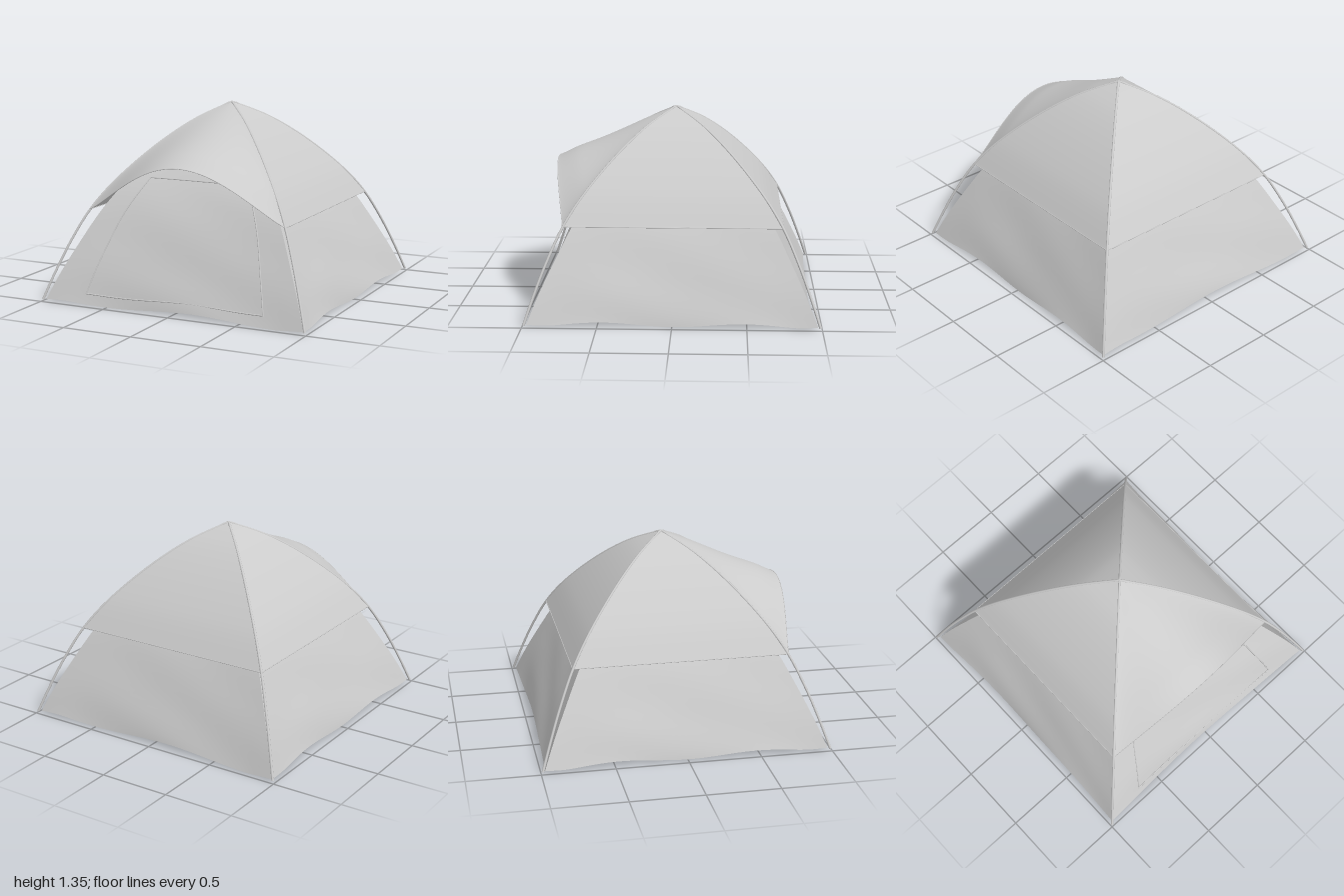
import * as THREE from 'three';

const fabric = new THREE.MeshStandardMaterial({ color: 0xcccccc, side: THREE.DoubleSide });
const solid = new THREE.MeshStandardMaterial({ color: 0xcccccc });

const spline = (pts) => new THREE.SplineCurve(pts.map(([c, y]) => new THREE.Vector2(c, y)));

// Half-width and height along the corners, from the ground to the peak
const poleProfile = spline([[0.988, 0.015], [0.925, 0.2], [0.845, 0.41], [0.74, 0.635],
  [0.6, 0.84], [0.4, 1.06], [0.2, 1.23], [0, 1.345]]);
const innerProfile = spline([[0.972, 0.015], [0.9, 0.19], [0.8, 0.4], [0.68, 0.63],
  [0.55, 0.82], [0.36, 1.03], [0.18, 1.19], [0, 1.3]]);
const flyProfile = spline([[0.745, 0.633], [0.605, 0.84], [0.403, 1.062], [0.202, 1.234], [0, 1.35]]);

// Cloth panel facing +z: s runs -1..1 across, t runs 0..1 from hem to peak
function panel(name, pointAt) {
  const geo = new THREE.PlaneGeometry(2, 1, 40, 36);
  const pos = geo.attributes.position;
  for (let i = 0; i < pos.count; i++) {
    const p = pointAt(pos.getX(i), pos.getY(i) + 0.5);
    pos.setXYZ(i, p.x, p.y, p.z);
  }
  geo.computeVertexNormals();
  const mesh = new THREE.Mesh(geo, fabric);
  mesh.name = name;
  return mesh;
}

// Inner wall, slightly hollow in the middle, with a wavy hem and soft folds
function wallPoint(s, t, wave) {
  const p = innerProfile.getPoint(t);
  const middle = 1 - s * s;
  const hem = Math.max(0, 1 - t * 4) * 0.014 * wave(s) * Math.min(1, middle * 3);
  const fold = 0.005 * Math.sin(s * 4 + t * 22) * middle * (1 - t);
  return new THREE.Vector3(p.x * s, p.y + hem, p.x - 0.028 * middle * (1 - t) + fold);
}
const frontWave = (s) => Math.sin((s - 0.15) * 5 + Math.PI / 2);
const sideWave = (s) => -Math.cos(s * 6.2);

// Point on the front wall at a given x and height
function onFrontWall(x, y) {
  let lo = 0, hi = 1;
  for (let i = 0; i < 25; i++) {
    const mid = (lo + hi) / 2;
    if (innerProfile.getPoint(mid).y < y) lo = mid; else hi = mid;
  }
  const p = wallPoint(x / innerProfile.getPoint(lo).x, lo, frontWave);
  return new THREE.Vector3(x, y, p.z);
}

// Fly panel lying on the poles
function flyPoint(s, t) {
  const p = flyProfile.getPoint(t);
  return new THREE.Vector3(p.x * s, p.y, p.x);
}

// Front fly panel, arched outwards into a porch
function porchPoint(s, t) {
  const v = flyPoint(s, t);
  const k = v.z / 0.745;
  const arch = Math.pow(Math.max(0, Math.cos(s * Math.PI / 2)), 1.15);
  v.y += 0.352 * Math.pow(k, 2.3) * arch;
  v.z += 0.097 * k * arch;
  return v;
}

function tube(name, points, radius, segments, sides = 8) {
  const curve = new THREE.CatmullRomCurve3(points);
  const mesh = new THREE.Mesh(new THREE.TubeGeometry(curve, segments, radius, sides), solid);
  mesh.name = name;
  return mesh;
}

export function createModel() {
  const tent = new THREE.Group();
  tent.name = 'domeTent';

  // Walls and fly panels on all four sides
  ['front', 'left', 'back', 'right'].forEach((side, i) => {
    const wave = i % 2 ? sideWave : frontWave;
    const wall = panel(side + 'Wall', (s, t) => wallPoint(s, t, wave));
    const fly = panel(i ? side + 'Fly' : 'frontPorch', i ? flyPoint : porchPoint);
    wall.rotation.y = fly.rotation.y = i * Math.PI / 2;
    tent.add(wall, fly);
  });

  // Two arched poles crossing at the peak
  for (const dir of [1, -1]) {
    const points = [];
    for (let i = 0; i <= 48; i++) {
      const u = i / 24 - 1;
      const p = poleProfile.getPoint(1 - Math.abs(u));
      points.push(new THREE.Vector3(Math.sign(u) * p.x, p.y, Math.sign(u) * p.x * dir));
    }
    tent.add(tube('crossPole', points, 0.009, 120));
  }

  // Hem piping along the lower edge of the fly
  for (let i = 0; i < 4; i++) {
    const points = [];
    for (let j = 0; j <= 24; j++) points.push((i ? flyPoint : porchPoint)(j / 12 - 1, 0));
    const hem = tube('flyHem', points, 0.003, 48, 6);
    hem.rotation.y = i * Math.PI / 2;
    tent.add(hem);
  }

  // Door seam: two curved sides, top and bottom
  const door = new THREE.Group();
  door.name = 'doorSeam';
  const jamb = spline([[0.67, 0.075], [0.61, 0.3], [0.51, 0.6], [0.38, 0.85]]);
  const seam = (name, at) => {
    const points = [];
    for (let i = 0; i <= 24; i++) points.push(onFrontWall(...at(i / 24)));
    door.add(tube(name, points, 0.005, 60, 6));
  };
  for (const m of [1, -1]) {
    seam('doorSide', (u) => {
      const p = jamb.getPoint(u);
      return [p.x * m, p.y];
    });
  }
  seam('doorTop', (u) => [0.38 * (2 * u - 1), 0.85]);
  seam('doorBottom', (u) => [0.67 * (2 * u - 1), 0.078 + 0.012 * Math.sin(u * Math.PI) * Math.sin(u * 6 - 2)]);
  tent.add(door);

  return tent;
}
